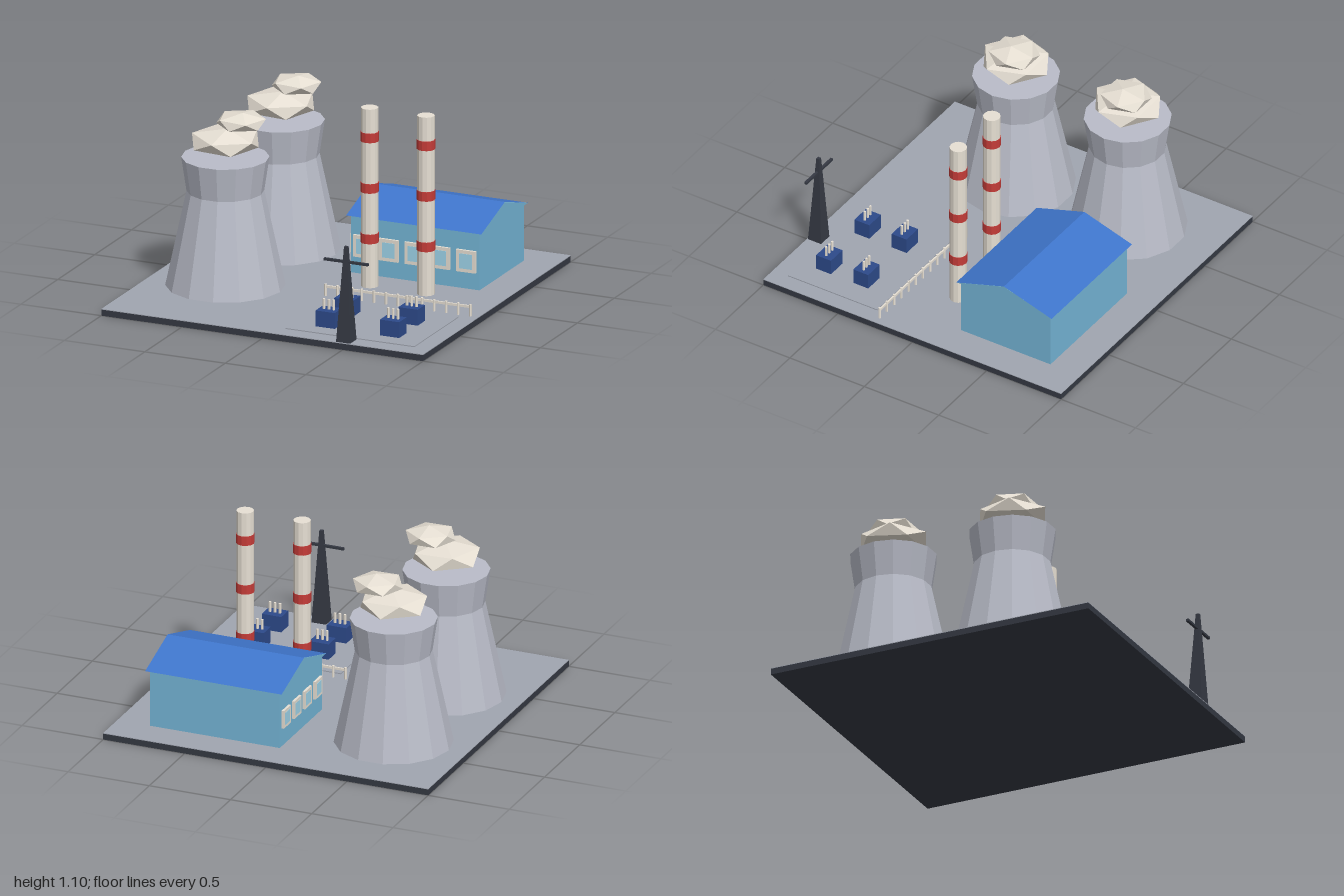
import * as THREE from 'three';

const mat = (color) => new THREE.MeshStandardMaterial({ color, flatShading: true });
const concrete = mat(0xb9bcc8), ground = mat(0xa0a5b0), dark = mat(0x353943), cream = mat(0xe6dfd3);
const red = mat(0xc43c38), wallBlue = mat(0x74b5d6), glass = mat(0x9fd4ea), navy = mat(0x2d4a8a);
const roofBlue = mat(0x3f76cc);
roofBlue.side = THREE.DoubleSide;

function add(parent, name, geometry, material, x = 0, y = 0, z = 0) {
  const mesh = new THREE.Mesh(geometry, material);
  mesh.name = name;
  mesh.position.set(x, y, z);
  parent.add(mesh);
  return mesh;
}

function group(parent, name, x = 0, y = 0, z = 0) {
  const g = new THREE.Group();
  g.name = name;
  g.position.set(x, y, z);
  parent.add(g);
  return g;
}

const box = (w, h, d) => new THREE.BoxGeometry(w, h, d);
const tube = (top, bottom, h, sides) => new THREE.CylinderGeometry(top, bottom, h, sides);

// Flattened low-poly puff standing on one corner
function puff(radius, turn) {
  return new THREE.IcosahedronGeometry(radius, 0)
    .rotateZ(Math.atan(2 / (1 + Math.sqrt(5))))
    .rotateY(turn).rotateX(0.08).rotateZ(-0.1)
    .scale(1, 0.35, 1);
}

function coolingTower(parent, x, z) {
  const tower = group(parent, 'coolingTower', x, 0.04, z);
  const profile = [[0, 0], [0.34, 0], [0.22, 0.56], [0.25, 0.76], [0, 0.76]]
    .map(([r, y]) => new THREE.Vector2(r, y));
  add(tower, 'towerShell', new THREE.LatheGeometry(profile, 14, Math.PI / 2), concrete);
  add(tower, 'lowerSteam', puff(0.22, 0.3), cream, 0, 0.857, 0);
  add(tower, 'upperSteam', puff(0.155, 0.9), cream, 0.08, 0.97, -0.04);
}

function chimney(parent, x, z) {
  const stack = group(parent, 'chimney', x, 0, z);
  add(stack, 'shaft', tube(0.05, 0.05, 1.06, 12), cream, 0, 0.57, 0);
  for (const y of [0.33, 0.63, 0.93]) add(stack, 'redBand', tube(0.053, 0.053, 0.056, 12), red, 0, y, 0);
}

// Window faces +z before it is turned
function windowUnit(parent, x, z, size, turn) {
  const unit = group(parent, 'window', x, 0.205, z);
  unit.rotation.y = turn;
  add(unit, 'windowFrame', box(size, size * 1.08, 0.03), cream);
  add(unit, 'windowPane', box(size * 0.66, size * 0.74, 0.004), glass, 0, 0, 0.015);
}

function turbineHall(parent) {
  const hall = group(parent, 'turbineHall');
  add(hall, 'walls', box(0.8, 0.34, 0.6), wallBlue, 0.4, 0.21, -0.5);

  // Gable block beneath the roof
  const gable = new THREE.Shape([[-0.315, 0], [0.315, 0], [0, 0.097]].map(([a, b]) => new THREE.Vector2(a, b)));
  const gableGeo = new THREE.ExtrudeGeometry(gable, { depth: 0.836, bevelEnabled: false }).rotateY(Math.PI / 2);
  add(hall, 'gable', gableGeo, wallBlue, -0.018, 0.38, -0.5);

  // Two roof slopes
  const length = Math.hypot(0.32, 0.1);
  for (const side of [-1, 1]) {
    const slope = add(hall, 'roofSlope', new THREE.PlaneGeometry(0.84, length).rotateX(-Math.PI / 2),
      roofBlue, 0.4, 0.43, -0.5 + side * 0.16);
    slope.rotation.x = side * Math.atan2(0.1, 0.32);
  }
  for (let i = 0; i < 5; i++) windowUnit(hall, 0.08 + i * 0.16, -0.2, 0.12, 0);
  for (let i = 0; i < 4; i++) windowUnit(hall, 0, -0.725 + i * 0.15, 0.1, -Math.PI / 2);
}

function transformer(parent, x, z) {
  const unit = group(parent, 'transformer', x, 0.04, z);
  add(unit, 'transformerTank', box(0.12, 0.1, 0.1), navy, 0, 0.05, 0);
  for (const dx of [-0.03, 0, 0.03]) add(unit, 'insulator', tube(0.008, 0.008, 0.06, 6), cream, dx, 0.13, 0);
}

export function createModel() {
  const model = new THREE.Group();
  model.name = 'powerPlant';

  // Ground slab and switchyard pad
  add(model, 'slab', box(2, 0.036, 2), dark, 0, 0.018, 0);
  add(model, 'groundSurface', box(2, 0.004, 2), ground, 0, 0.038, 0);
  add(model, 'switchyardPad', box(0.8, 0.006, 0.6), ground, 0.5, 0.043, 0.6);

  coolingTower(model, -0.55, -0.45);
  coolingTower(model, -0.55, 0.3);
  turbineHall(model);
  for (const x of [0.2, 0.55]) chimney(model, x, -0.02);
  for (const x of [0.3, 0.7]) for (const z of [0.5, 0.75]) transformer(model, x, z);

  // Fence
  const fence = group(model, 'fence', 0.5, 0.04, 0.25);
  add(fence, 'fenceRail', box(0.9, 0.014, 0.01), cream, 0, 0.056, 0);
  for (let i = 0; i < 13; i++) add(fence, 'fencePost', tube(0.008, 0.008, 0.07, 6), cream, -0.45 + i * 0.075, 0.035, 0);

  // Pylon
  const pylon = group(model, 'pylon', 0.5, 0.04, 0.95);
  add(pylon, 'pylonMast', tube(0.014, 0.062, 0.56, 4).rotateY(Math.PI / 4), dark, 0, 0.28, 0);
  add(pylon, 'pylonArm', box(0.275, 0.014, 0.016), dark, 0, 0.468, 0);

  return model;
}
